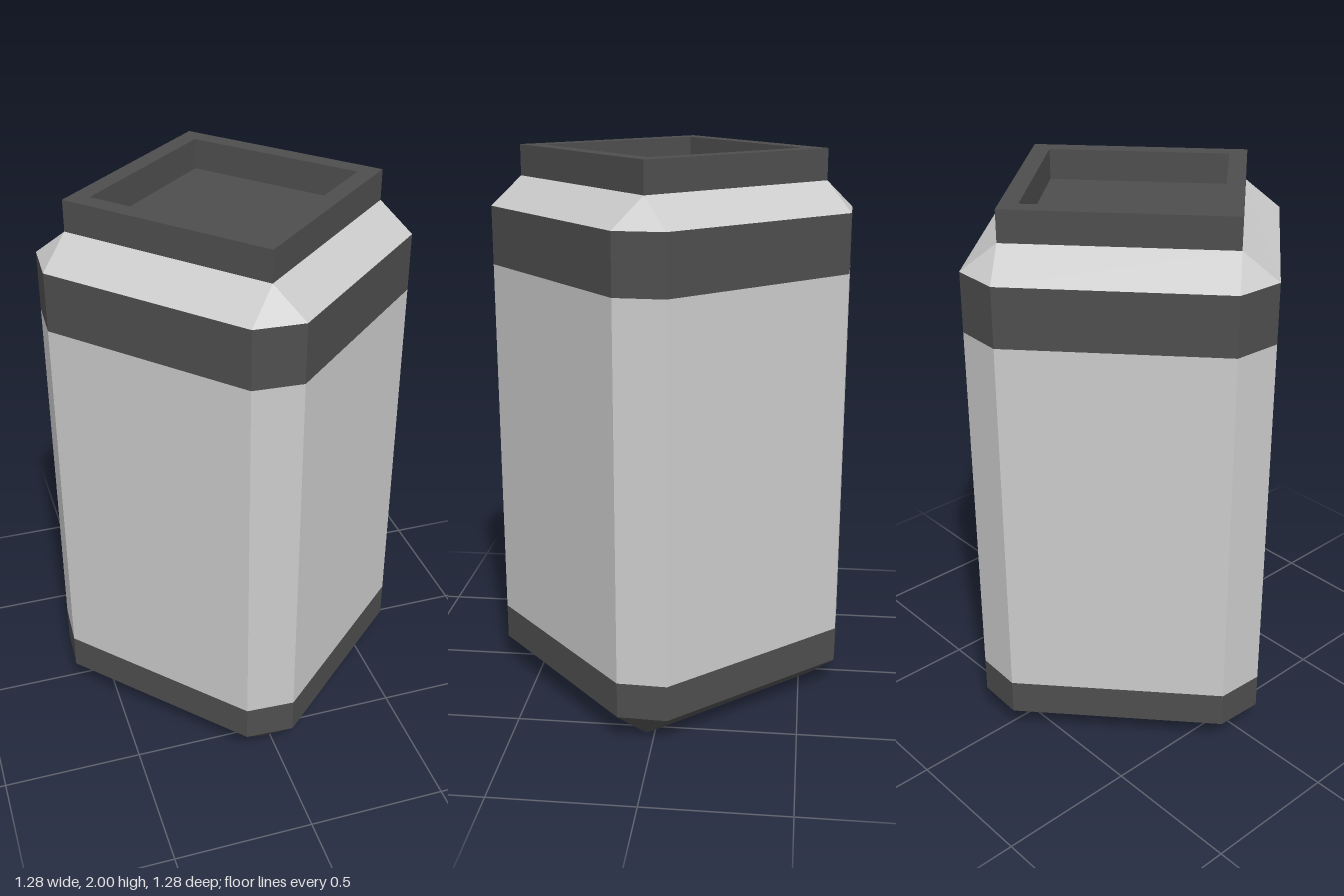
import * as THREE from 'three';

// Corner of each cross-section nearest the front (two points per corner); the rest follow by quarter turns
const OCTAGON = [[-0.12, 0.632], [0.055, 0.64]];
const SQUARE = [[-0.027, 0.547], [-0.027, 0.547]];
const OPENING = [[-0.023, 0.457], [-0.023, 0.457]];
const CENTRE = [[0, 0], [0, 0]];

function ring([corner, y]) {
  const points = [];
  for (let k = 0; k < 4; k++) {
    for (const [x, z] of corner) {
      let px = x, pz = z;
      for (let n = 0; n < k; n++) [px, pz] = [pz, -px];
      points.push(new THREE.Vector3(px, y, pz));
    }
  }
  return points;
}

// Skins successive rings with flat faces, skipping collapsed triangles
function loft(name, color, sections) {
  const rings = sections.map(ring);
  const positions = [];
  const addTriangle = (a, b, c) => {
    if (new THREE.Triangle(a, b, c).getArea() < 1e-7) return;
    for (const p of [a, b, c]) positions.push(p.x, p.y, p.z);
  };
  for (let r = 0; r < rings.length - 1; r++) {
    const low = rings[r], high = rings[r + 1];
    for (let i = 0; i < 8; i++) {
      const j = (i + 1) % 8;
      addTriangle(low[i], low[j], high[j]);
      addTriangle(low[i], high[j], high[i]);
    }
  }
  const geometry = new THREE.BufferGeometry();
  geometry.setAttribute('position', new THREE.Float32BufferAttribute(positions, 3));
  geometry.computeVertexNormals();
  const mesh = new THREE.Mesh(geometry, new THREE.MeshStandardMaterial({ color, flatShading: true }));
  mesh.name = name;
  return mesh;
}

export function createModel() {
  const group = new THREE.Group();
  group.name = 'canister';
  const grey = 0xcccccc, dark = 0x4e4e4e;
  group.add(
    // Closed base with a chamfered underside
    loft('base', dark, [[CENTRE, 0], [SQUARE, 0], [OCTAGON, 0.105], [OCTAGON, 0.235]]),
    loft('body', grey, [[OCTAGON, 0.235], [OCTAGON, 1.58]]),
    loft('upperBand', dark, [[OCTAGON, 1.58], [OCTAGON, 1.79]]),
    loft('shoulder', grey, [[OCTAGON, 1.79], [SQUARE, 1.89]]),
    // Raised rim with a recessed floor
    loft('rim', dark, [[SQUARE, 1.89], [SQUARE, 2], [OPENING, 2], [OPENING, 1.89], [CENTRE, 1.89]])
  );
  return group;
}
